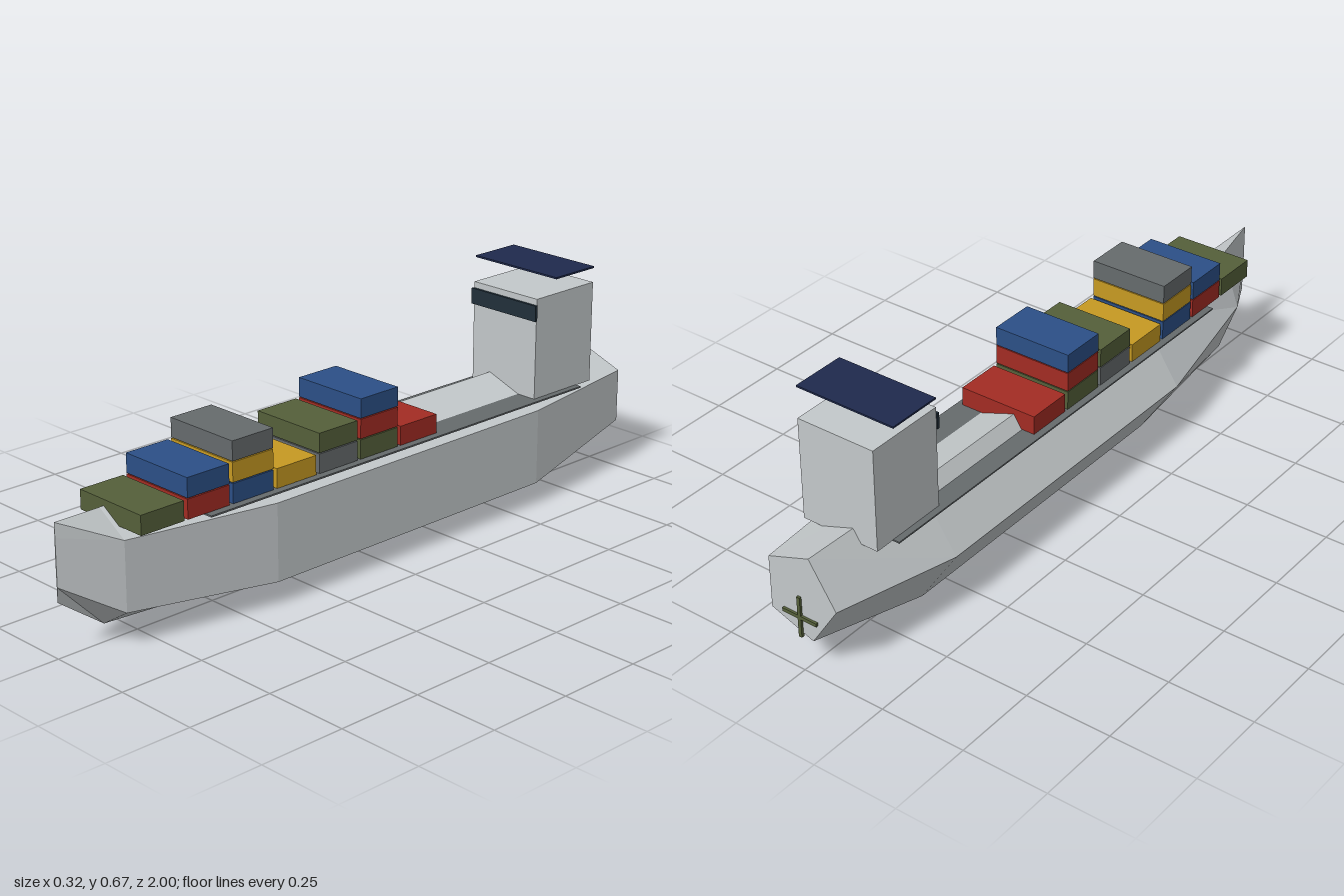
import * as THREE from 'three';

const CX = 0.008; // shared centre line of hull, cargo and bridge

const paint = (name, color) => {
  const m = new THREE.MeshStandardMaterial({ color });
  m.name = name;
  return m;
};

// Box given by its limits on each axis
function block(name, mat, [x0, x1], [y0, y1], [z0, z1]) {
  const mesh = new THREE.Mesh(new THREE.BoxGeometry(x1 - x0, y1 - y0, z1 - z0), mat);
  mesh.position.set((x0 + x1) / 2, (y0 + y1) / 2, (z0 + z1) / 2);
  mesh.name = name;
  return mesh;
}

// Five-sided hull lofted through stations [z, centre height, half width, half height]
function hullGeometry() {
  const stations = [
    [-0.993, 0.225, 0.118, 0.132],
    [-0.595, 0.178, 0.17, 0.187],
    [0.398, 0.178, 0.17, 0.187],
    [0.841, 0.197, 0.085, 0.166],
    [1, 0.2615, 0.0015, 0.112],
  ];
  const sides = 5;
  const rings = stations.map(([z, cy, rx, ry]) =>
    Array.from({ length: sides }, (_, k) => {
      const a = Math.PI / 5 + (k * Math.PI * 2) / sides;
      return new THREE.Vector3(CX + rx * Math.cos(a), cy + ry * Math.sin(a), z);
    }));
  const pts = [];
  for (let i = 0; i < rings.length - 1; i++) {
    for (let k = 0; k < sides; k++) {
      const n = (k + 1) % sides;
      const a = rings[i][k], b = rings[i][n], c = rings[i + 1][n], d = rings[i + 1][k];
      pts.push(a, b, c, a, c, d);
    }
  }
  // Stern and bow caps
  const stern = rings[0], bow = rings[rings.length - 1];
  for (let k = 1; k < sides - 1; k++) {
    pts.push(stern[0], stern[k + 1], stern[k]);
    pts.push(bow[0], bow[k], bow[k + 1]);
  }
  const geo = new THREE.BufferGeometry().setFromPoints(pts);
  geo.computeVertexNormals();
  return geo;
}

export function createModel() {
  const ship = new THREE.Group();
  ship.name = 'containerShip';

  const lightGrey = paint('light grey', 0xc4c9cb);
  const grey = paint('dark grey', 0x666b6d);
  const red = paint('red', 0xa32c23);
  const blue = paint('blue', 0x2c5087);
  const olive = paint('olive', 0x55603a);
  const yellow = paint('yellow', 0xc79a22);
  const navy = paint('navy', 0x1f2a4d);
  const glass = paint('window', 0x212f3a);

  const hull = new THREE.Mesh(hullGeometry(), lightGrey);
  hull.name = 'hull';
  ship.add(hull);

  ship.add(block('deck', grey, [-0.13, 0.146], [0.312, 0.3165], [-0.775, 0.62]));

  // Container stacks from bow to stern, each listed bottom to top
  const stacks = [
    [olive],
    [red, blue],
    [blue, yellow, grey],
    [yellow],
    [grey, olive],
    [olive, red, blue],
    [red],
  ];
  const cargo = new THREE.Group();
  cargo.name = 'containers';
  stacks.forEach((stack, i) => {
    const z = 0.76 - i * 0.1487;
    stack.forEach((mat, level) => {
      const y = 0.318 + level * 0.0573;
      cargo.add(block('container', mat, [CX - 0.119, CX + 0.119], [y, y + 0.0545], [z - 0.0685, z + 0.0685]));
    });
  });
  ship.add(cargo);

  // Bridge tower with window band and floating roof
  const bridge = new THREE.Group();
  bridge.name = 'bridge';
  bridge.add(
    block('tower', lightGrey, [CX - 0.119, CX + 0.119], [0.315, 0.611], [-0.835, -0.597]),
    block('bridgeWindow', glass, [CX - 0.122, CX + 0.122], [0.547, 0.593], [-0.597, -0.589]),
    block('roof', navy, [CX - 0.153, CX + 0.153], [0.668, 0.673], [-0.797, -0.637]),
  );
  ship.add(bridge);

  // Propeller: two crossed blades on the stern
  const propeller = new THREE.Group();
  propeller.name = 'propeller';
  propeller.add(
    block('verticalBlade', olive, [CX - 0.005, CX + 0.005], [0.1, 0.222], [-1, -0.99]),
    block('horizontalBlade', olive, [CX - 0.055, CX + 0.055], [0.156, 0.166], [-1, -0.99]),
  );
  ship.add(propeller);

  return ship;
}
